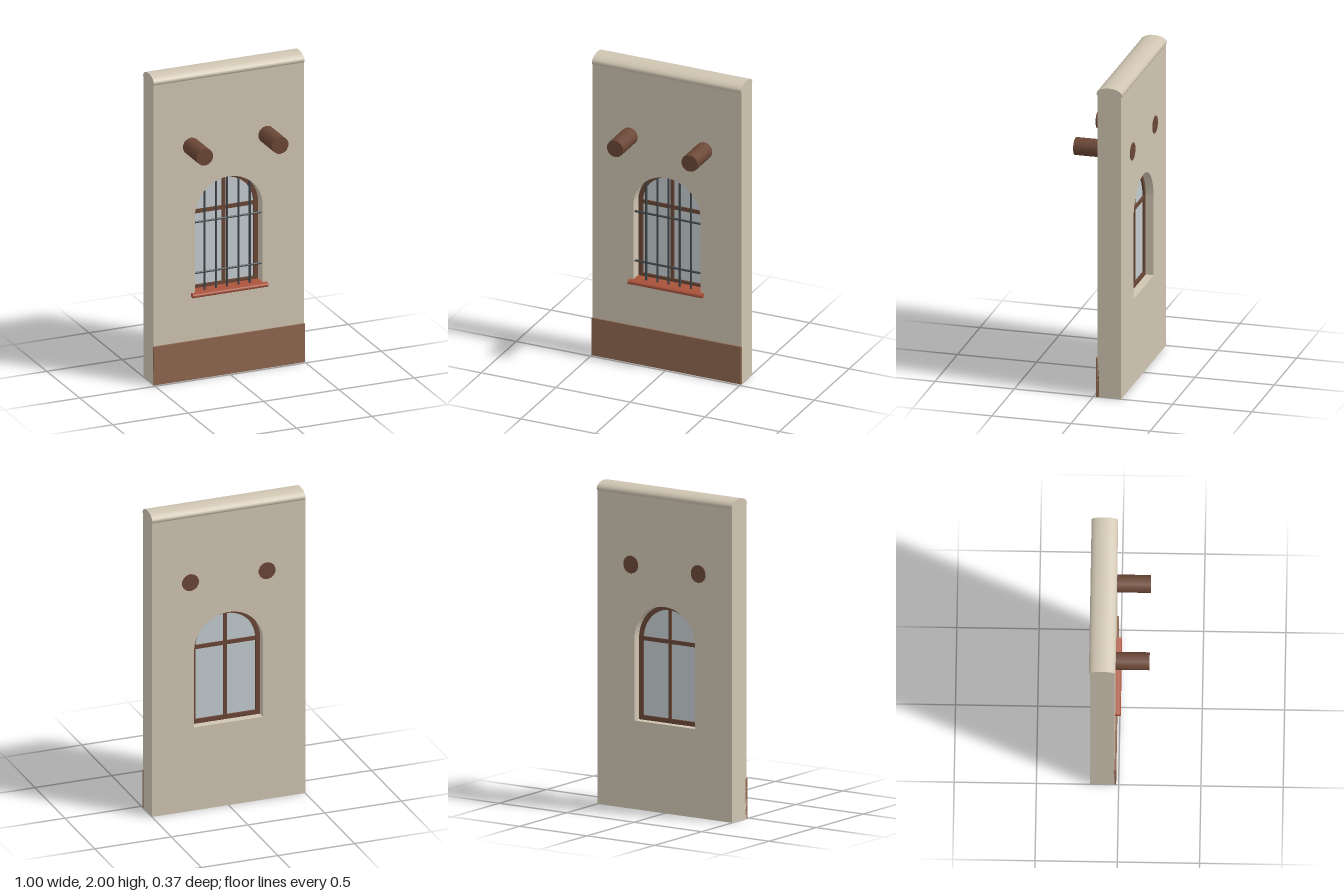
import * as THREE from 'three';
import { toCreasedNormals } from 'three/addons/utils/BufferGeometryUtils.js';

const WALL_Z = -0.1, FRAME_Z = -0.11, BAR_Z = -0.05;
const HALF = 0.225, BASE = 0.55, SPRING = 1.055;

const mat = (name, color) => {
  const m = new THREE.MeshStandardMaterial({ color });
  m.name = name;
  return m;
};

// Round-headed outline, inset evenly on all sides
function arch(PathType, inset) {
  const r = HALF - inset;
  const p = new PathType();
  p.moveTo(-r, BASE + inset);
  p.lineTo(r, BASE + inset);
  p.lineTo(r, SPRING);
  p.absarc(0, SPRING, r, 0, Math.PI, false);
  p.lineTo(-r, BASE + inset);
  return p;
}

// Extrusion centred on z = 0, smooth along curves and sharp at corners
function slab(shape, depth) {
  const g = new THREE.ExtrudeGeometry(shape, { depth, bevelEnabled: false, curveSegments: 24 });
  g.translate(0, 0, -depth / 2);
  return toCreasedNormals(g, 0.6);
}

export function createModel() {
  const model = new THREE.Group();
  model.name = 'wallWithWindow';

  const plaster = mat('plaster', 0xd0c5b2);
  const earth = mat('earthBrown', 0x8f684f);
  const wood = mat('darkWood', 0x6b4736);
  const clay = mat('clay', 0xa8523a);
  const iron = mat('iron', 0x42484c);
  const glass = mat('glass', 0xc4ccd0);

  const add = (name, geometry, material, x, y, z, parent = model) => {
    const m = new THREE.Mesh(geometry, material);
    m.name = name;
    m.position.set(x, y, z);
    parent.add(m);
    return m;
  };

  // Wall panel with the window opening
  const wall = new THREE.Shape();
  wall.moveTo(-0.5, 0);
  wall.lineTo(0.5, 0);
  wall.lineTo(0.5, 1.96);
  wall.lineTo(-0.5, 1.96);
  wall.closePath();
  wall.holes.push(arch(THREE.Path, 0));
  add('wall', slab(wall, 0.15), plaster, 0, 0, WALL_Z);

  // Rounded coping along the top
  const coping = new THREE.CylinderGeometry(1, 1, 1, 20);
  coping.rotateZ(Math.PI / 2);
  coping.scale(1, 0.04, 0.081);
  add('coping', coping, plaster, 0, 1.96, WALL_Z);

  // Painted skirting on the front
  add('plinth', new THREE.BoxGeometry(1, 0.25, 0.02), earth, 0, 0.125, -0.025);

  // Roof beams passing through the wall
  const beam = new THREE.CylinderGeometry(0.055, 0.055, 0.364, 14);
  beam.rotateX(Math.PI / 2);
  for (const s of [-1, 1]) add(s > 0 ? 'leftBeam' : 'rightBeam', beam, wood, s * 0.25, 1.515, 0.002);

  // Sill with a rounded nose, drawn as a side profile and swept across
  const nose = new THREE.Shape();
  nose.moveTo(-0.1, -0.0125);
  nose.lineTo(-0.0035, -0.0125);
  nose.absarc(-0.0035, 0, 0.0125, -Math.PI / 2, Math.PI / 2, false);
  nose.lineTo(-0.1, 0.0125);
  nose.closePath();
  const sill = slab(nose, 0.5);
  sill.rotateY(-Math.PI / 2);
  add('sill', sill, clay, 0, 0.546, 0);

  // Window frame, glazing bars and pane
  const windowGroup = new THREE.Group();
  windowGroup.name = 'window';
  windowGroup.position.z = FRAME_Z;
  model.add(windowGroup);
  const frame = arch(THREE.Shape, 0);
  frame.holes.push(arch(THREE.Path, 0.028));
  add('windowFrame', slab(frame, 0.03), wood, 0, 0, 0, windowGroup);
  add('mullion', new THREE.BoxGeometry(0.022, 0.68, 0.024), wood, 0, 0.915, 0, windowGroup);
  add('transom', new THREE.BoxGeometry(0.41, 0.025, 0.024), wood, 0, SPRING, 0, windowGroup);
  add('pane', slab(arch(THREE.Shape, 0.02), 0.006), glass, 0, 0, 0, windowGroup);

  // Iron grille inside the front of the opening
  const grille = new THREE.Group();
  grille.name = 'grille';
  grille.position.z = BAR_Z;
  model.add(grille);
  for (let i = -2; i <= 2; i++) {
    const x = i * 0.075;
    const top = SPRING + Math.sqrt(HALF * HALF - x * x);
    const bar = new THREE.CylinderGeometry(0.007, 0.007, top - BASE, 8);
    add('uprightBar', bar, iron, x, (top + BASE) / 2, 0, grille);
  }
  const cross = new THREE.CylinderGeometry(0.007, 0.007, 2 * HALF, 8);
  cross.rotateZ(Math.PI / 2);
  for (const y of [0.675, 1.005]) add('crossBar', cross, iron, 0, y, 0, grille);

  return model;
}
